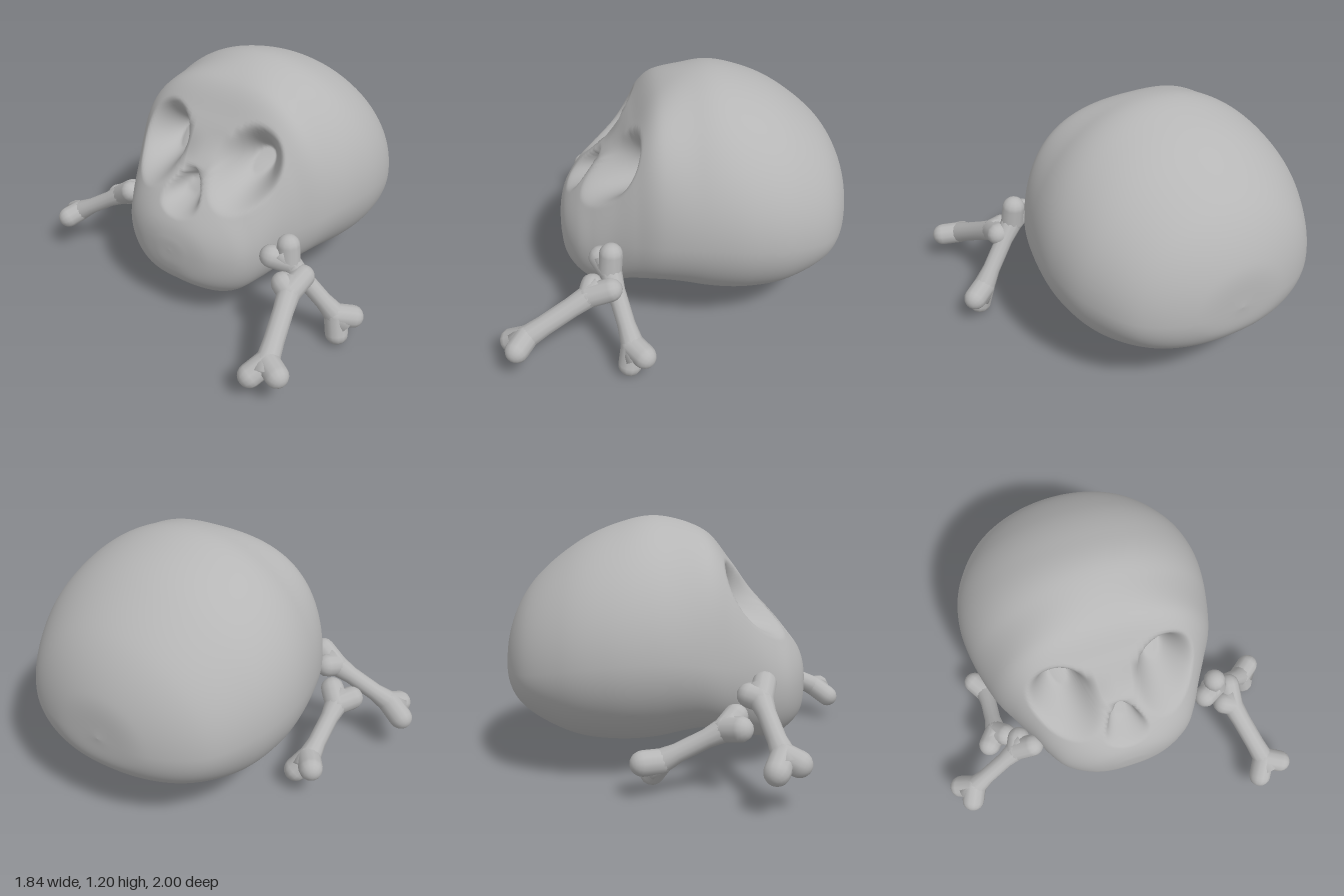
import * as THREE from 'three';

const bone = new THREE.MeshStandardMaterial({ color: 0xb6b6b6 });
bone.name = 'bone grey';

// Skull sections from back to front: z, half width, top y, widest y, bottom y
const SECTIONS = [
  [-1.03, 0, 0.5, 0.5, 0.5],
  [-1.01, 0.24, 0.7, 0.49, 0.36],
  [-0.9, 0.46, 0.9, 0.5, 0.25],
  [-0.7, 0.595, 1.07, 0.54, 0.15],
  [-0.5, 0.645, 1.165, 0.57, 0.12],
  [-0.3, 0.635, 1.2, 0.58, 0.13],
  [-0.08, 0.58, 1.13, 0.56, 0.18],
  [0.05, 0.51, 0.98, 0.53, 0.17],
  [0.15, 0.45, 0.84, 0.5, 0.13],
  [0.25, 0.395, 0.73, 0.44, 0.125],
  [0.33, 0.33, 0.64, 0.41, 0.17],
  [0.39, 0.22, 0.55, 0.4, 0.23],
  [0.415, 0.1, 0.47, 0.4, 0.31],
  [0.42, 0, 0.4, 0.4, 0.4],
];

// Push eye sockets and the nose opening into the face
function carve(p) {
  if (p.z < -0.2) return;
  const side = Math.sign(p.x);
  const eye = Math.hypot((Math.abs(p.x) - 0.255) / 0.155, (p.y - 0.815) / 0.175);
  const eyeDepth = 0.2 * (1 - THREE.MathUtils.smoothstep(eye, 0.45, 1.08));
  const down = THREE.MathUtils.clamp((0.8 - p.y) / 0.2, 0, 1);
  const nose = Math.hypot(p.x / (0.04 + 0.09 * down), (p.y - 0.675) / 0.1);
  const noseDepth = p.z > 0.05 ? 0.11 * (1 - THREE.MathUtils.smoothstep(nose, 0.35, 1.1)) : 0;
  const inward = new THREE.Vector3(side * 0.2, 0.72, -0.45).sub(p).normalize();
  p.addScaledVector(inward, eyeDepth);
  p.z -= noseDepth;
}

function skullGeometry(rings = 160, around = 160) {
  const outer = new THREE.CatmullRomCurve3(SECTIONS.map(s => new THREE.Vector3(s[0], s[1], s[2])));
  const lower = new THREE.CatmullRomCurve3(SECTIONS.map(s => new THREE.Vector3(s[0], s[3], s[4])));
  outer.curveType = lower.curveType = 'catmullrom';
  const positions = [], index = [];
  for (let j = 0; j <= rings; j++) {
    const { x: z, y: w, z: top } = outer.getPoint(j / rings);
    const { y: mid, z: bottom } = lower.getPoint(j / rings);
    const face = THREE.MathUtils.smoothstep(z, -0.25, 0.05);
    const cheek = 1 - THREE.MathUtils.smoothstep(z, 0.15, 0.35);
    for (let i = 0; i < around; i++) {
      const a = (i / around) * Math.PI * 2, c = Math.cos(a), s = Math.sin(a);
      // the jaw and brow are squarer than the cranium
      const q = s < 0 ? 0.86 - 0.22 * face : 1 - face * (0.2 + 0.27 * cheek);
      const p = new THREE.Vector3(
        Math.max(w, 0) * Math.sign(c) * Math.abs(c) ** q,
        mid + s * (s > 0 ? top - mid : mid - bottom), z);
      carve(p);
      positions.push(p.x, p.y, p.z);
      if (j < rings) {
        const n = (i + 1) % around, r = j * around, t = r + around;
        index.push(r + i, r + n, t + i, r + n, t + n, t + i);
      }
    }
  }
  const g = new THREE.BufferGeometry();
  g.setAttribute('position', new THREE.Float32BufferAttribute(positions, 3));
  g.setIndex(index);
  g.computeVertexNormals();
  return g;
}

// Place a mesh whose length runs along y so that it starts at a and points at b
function aim(mesh, a, b) {
  mesh.position.copy(a);
  mesh.quaternion.setFromUnitVectors(new THREE.Vector3(0, 1, 0), b.clone().sub(a).normalize());
  return mesh;
}

// A limb bone: flared shaft that forks into two round knobs at each end
function limbBone(name, startKnobs, endKnobs, r = 0.043) {
  const group = new THREE.Group();
  group.name = name;
  const ends = [startKnobs, endKnobs].map(pair => pair.map(k => new THREE.Vector3(...k)));
  const [a, b] = ends.map(([p, q]) => p.clone().lerp(q, 0.5));
  const len = a.distanceTo(b);
  ends.forEach((pair, e) => {
    const fork = a.clone().lerp(b, e ? 0.86 : 0.14);
    for (const tip of pair) {
      const length = fork.distanceTo(tip);
      const geometry = new THREE.CapsuleGeometry(0.057, length, 5, 12).translate(0, length / 2, 0);
      const knob = aim(new THREE.Mesh(geometry, bone), fork, tip);
      knob.name = 'knob';
      group.add(knob);
    }
  });
  const profile = [[0, 0], [0.056, 0], [0.056, 0.14], [r, 0.34], [r, 0.66], [0.056, 0.86], [0.056, 1], [0, 1]]
    .map(([x, t]) => new THREE.Vector2(x, t * len));
  const shaft = aim(new THREE.Mesh(new THREE.LatheGeometry(profile, 12), bone), a, b);
  shaft.name = 'shaft';
  group.add(shaft);
  return group;
}

export function createModel() {
  const model = new THREE.Group();
  model.name = 'skullAndBones';

  // Skull, turned to look diagonally
  const skull = new THREE.Mesh(skullGeometry(), bone);
  skull.name = 'skull';
  skull.position.set(-0.045, 0, -0.045);
  skull.rotation.y = -Math.PI / 4;
  model.add(skull);

  // Crossed bones on both sides of the jaw
  model.add(
    limbBone('frontUprightBone', [[0.21, 0.51, 0.45], [0.13, 0.45, 0.44]], [[0.515, 0.14, 0.56], [0.44, 0.057, 0.575]]),
    limbBone('frontLyingBone', [[0.27, 0.375, 0.52], [0.17, 0.36, 0.54]], [[-0.04, 0.125, 0.88], [0.07, 0.165, 0.94]], 0.05),
    limbBone('sideLongBone', [[-0.51, 0.46, -0.24], [-0.5, 0.42, -0.33]], [[-0.865, 0.21, -0.43], [-0.83, 0.19, -0.53]]),
    limbBone('sideLowBone', [[-0.58, 0.31, -0.475], [-0.5, 0.34, -0.42]], [[-0.28, 0.16, -0.77], [-0.24, 0.09, -0.68]]),
  );
  return model;
}
